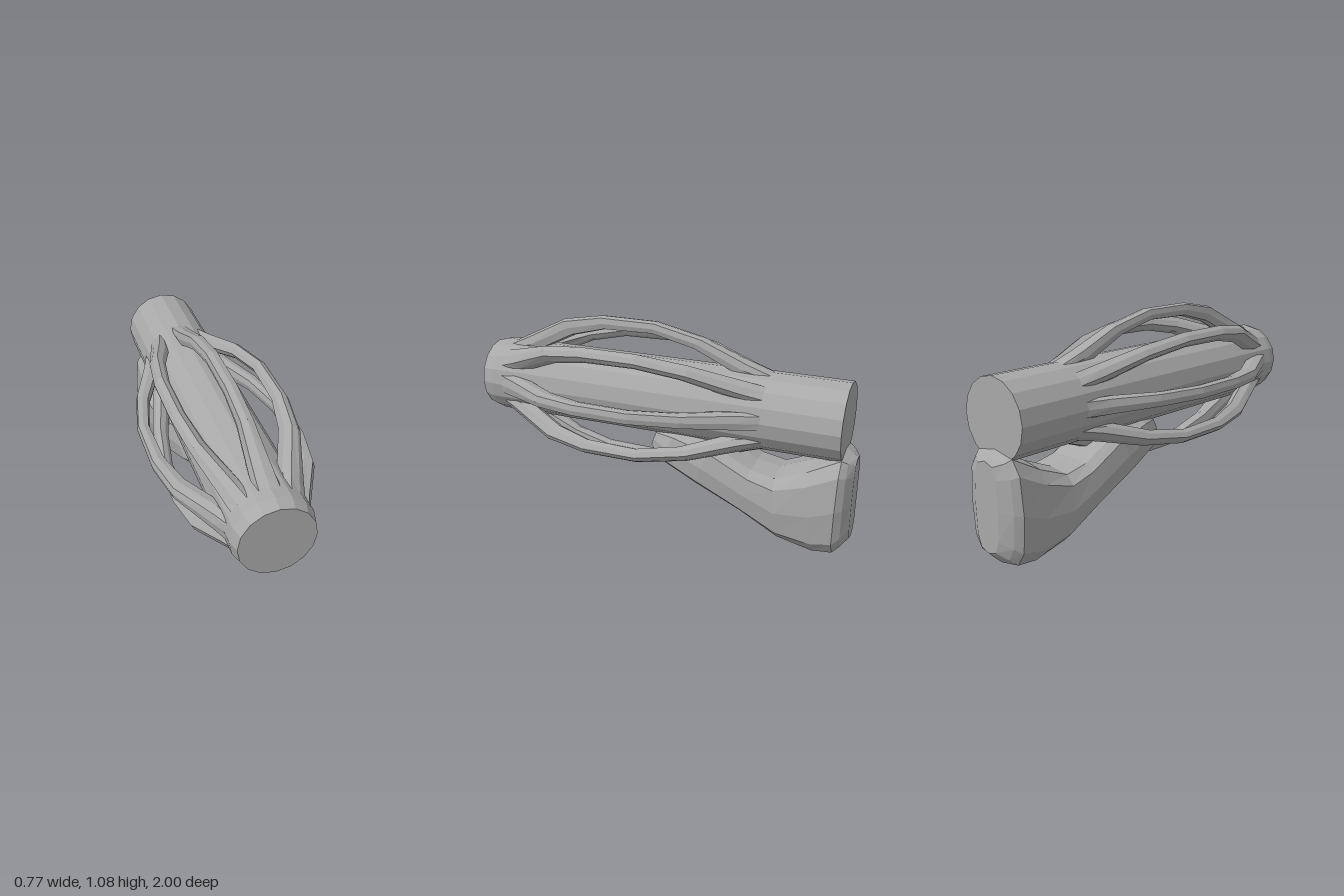
import * as THREE from 'three';

const AXIS_Y = 0.695;

// Faceted normals
function facet(geo) {
  const g = geo.index ? geo.toNonIndexed() : geo;
  g.computeVertexNormals();
  return g;
}

// Closed loft running towards -z. Each section: [zTop, yTop, zBottom, yBottom, halfWidth]
function loft(sections, sides, power) {
  const pos = [], idx = [];
  const soft = (v) => Math.sign(v) * Math.pow(Math.abs(v), power);
  sections.forEach(([zt, yt, zb, yb, w]) => {
    for (let j = 0; j < sides; j++) {
      const a = (j / sides) * Math.PI * 2;
      const t = (1 + soft(Math.cos(a))) / 2;
      pos.push(w * soft(Math.sin(a)), yb + (yt - yb) * t, zb + (zt - zb) * t);
    }
  });
  for (let i = 0; i < sections.length - 1; i++) {
    for (let j = 0; j < sides; j++) {
      const a = i * sides + j, b = i * sides + (j + 1) % sides;
      idx.push(a, b, a + sides, b, b + sides, a + sides);
    }
  }
  // End caps
  const last = (sections.length - 1) * sides;
  for (let j = 1; j < sides - 1; j++) {
    idx.push(0, j + 1, j, last, last + j, last + j + 1);
  }
  const g = new THREE.BufferGeometry();
  g.setAttribute('position', new THREE.Float32BufferAttribute(pos, 3));
  g.setIndex(idx);
  return facet(g);
}

export function createModel() {
  const model = new THREE.Group();
  model.name = 'ribbedBarrel';
  const grey = new THREE.MeshStandardMaterial({ color: 0xa8a8a8 });
  grey.name = 'grey';

  function add(parent, name, geo) {
    const mesh = new THREE.Mesh(geo, grey);
    mesh.name = name;
    parent.add(mesh);
    return mesh;
  }

  // Central barrel with a bevelled front end
  const profile = [[0, -0.94], [0.197, -0.94], [0.197, 0.94], [0.18, 1], [0, 1]]
    .map(([r, z]) => new THREE.Vector2(r, z));
  const barrelGeo = new THREE.LatheGeometry(profile, 16);
  barrelGeo.rotateX(Math.PI / 2);
  const barrel = add(model, 'barrel', facet(barrelGeo));
  barrel.position.y = AXIS_Y;

  // Eight bowed ribs around the barrel, flared where they join it
  const ribGeo = loft([
    [0.90, 0.185, 0.84, 0.15, 0.06],
    [0.82, 0.225, 0.72, 0.165, 0.055],
    [0.58, 0.345, 0.52, 0.265, 0.037],
    [0.36, 0.385, 0.34, 0.315, 0.035],
    [0.06, 0.385, 0.07, 0.322, 0.035],
    [-0.20, 0.33, -0.15, 0.272, 0.037],
    [-0.44, 0.237, -0.38, 0.17, 0.045],
    [-0.57, 0.19, -0.54, 0.15, 0.045],
  ], 8, 0.65);
  const ribs = new THREE.Group();
  ribs.name = 'ribs';
  ribs.position.y = AXIS_Y;
  for (let i = 0; i < 8; i++) {
    add(ribs, 'rib', ribGeo).rotation.z = (i * Math.PI) / 4;
  }
  model.add(ribs);

  // Sloping arm that swells into the upright block under the rear of the barrel
  add(model, 'handle', loft([
    [0.02, 0.53, 0.06, 0.42, 0.09],
    [-0.10, 0.55, 0.00, 0.36, 0.14],
    [-0.30, 0.52, -0.20, 0.27, 0.17],
    [-0.50, 0.42, -0.45, 0.16, 0.177],
    [-0.62, 0.40, -0.65, 0.05, 0.18],
    [-0.78, 0.47, -0.83, 0.005, 0.18],
    [-0.94, 0.56, -0.93, 0.012, 0.18],
    [-0.97, 0.54, -0.965, 0.045, 0.15],
    [-1.00, 0.52, -1.00, 0.08, 0.08],
  ], 12, 0.6));

  return model;
}
